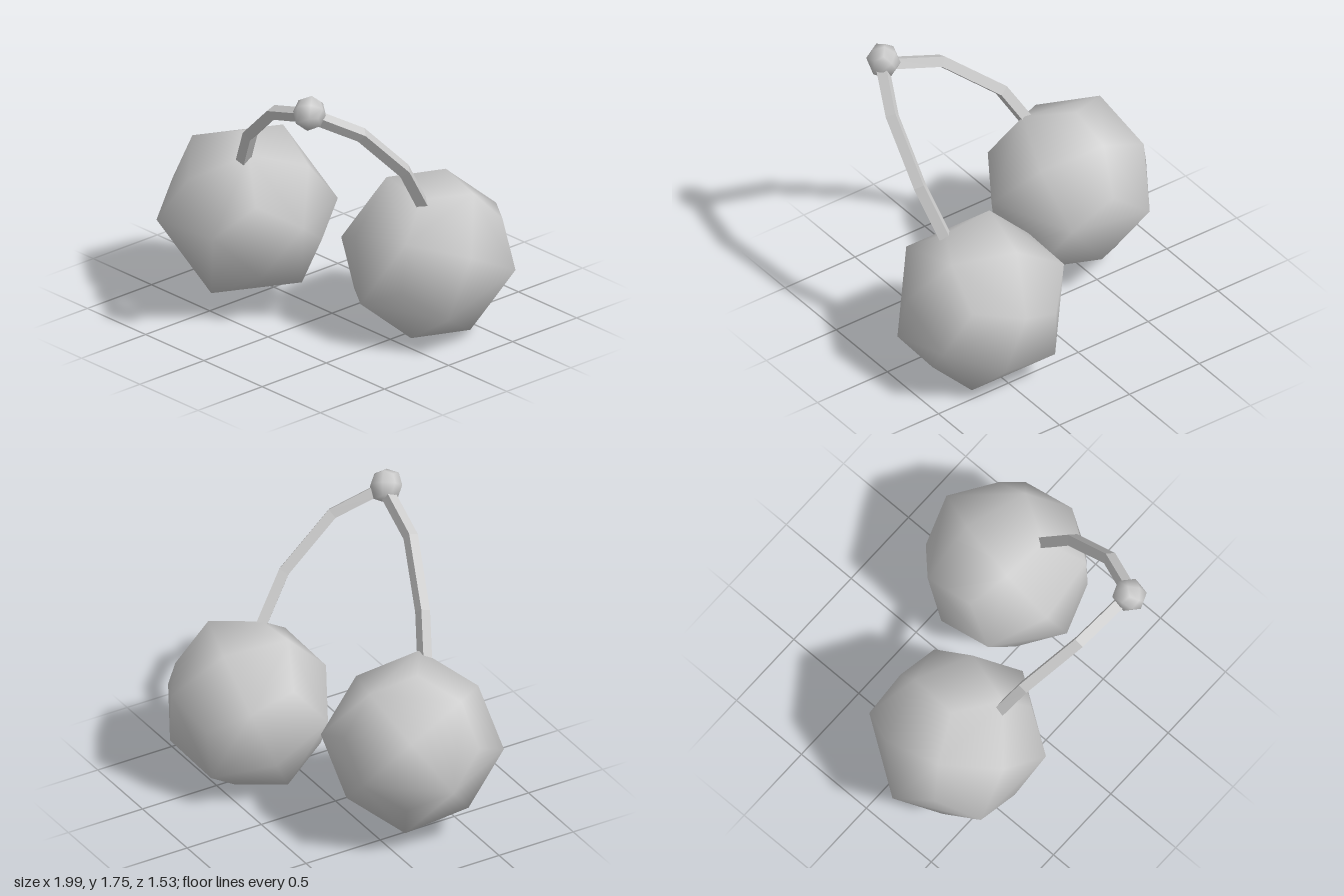
import * as THREE from 'three';
import { ConvexGeometry } from 'three/addons/geometries/ConvexGeometry.js';
import { mergeVertices } from 'three/addons/utils/BufferGeometryUtils.js';

const V = (x, y, z) => new THREE.Vector3(x, y, z);
const material = new THREE.MeshStandardMaterial({ color: 0xcccccc });

function addMesh(group, name, geometry) {
  const mesh = new THREE.Mesh(geometry, material);
  mesh.name = name;
  group.add(mesh);
  return mesh;
}

// Once-subdivided cube: face centres, edge midpoints and corners pulled toward a ball
function ballGeometry() {
  const pull = [0, 1, 0.75, 5 / 9];
  const steps = [-1, 0, 1];
  const points = [];
  for (const x of steps) for (const y of steps) for (const z of steps) {
    const n = Math.abs(x) + Math.abs(y) + Math.abs(z);
    if (n) points.push(V(x, y, z).multiplyScalar(pull[n]));
  }
  let geometry = new ConvexGeometry(points);
  geometry.deleteAttribute('normal');
  geometry = mergeVertices(geometry, 1e-4);
  geometry.computeVertexNormals();
  return geometry;
}

// Ball turned so that its local x and y follow the two given directions
function addBall(group, name, centre, radius, xDir, yDir, stretch = V(1, 1, 1)) {
  const x = xDir.clone().normalize();
  const z = x.clone().cross(yDir).normalize();
  const y = z.clone().cross(x);
  const geometry = ballGeometry();
  geometry.applyMatrix4(new THREE.Matrix4().makeBasis(x, y, z));
  geometry.scale(radius * stretch.x, radius * stretch.y, radius * stretch.z);
  addMesh(group, name, geometry).position.copy(centre);
}

// Square bar swept along a bent path, flat-sided with closed ends
function stemGeometry(path, faceNormal, half) {
  const positions = [];
  const index = [];
  const normal = faceNormal.clone();
  path.forEach((p, i) => {
    const before = path[Math.max(i - 1, 0)];
    const after = path[Math.min(i + 1, path.length - 1)];
    const tangent = after.clone().sub(before).normalize();
    normal.addScaledVector(tangent, -normal.dot(tangent)).normalize();
    const side = tangent.clone().cross(normal);
    for (const [a, b] of [[1, 1], [-1, 1], [-1, -1], [1, -1]]) {
      const c = p.clone().addScaledVector(normal, a * half).addScaledVector(side, b * half);
      positions.push(c.x, c.y, c.z);
    }
    if (i === 0) return;
    for (let k = 0; k < 4; k++) {
      const a = (i - 1) * 4 + k, b = (i - 1) * 4 + (k + 1) % 4;
      index.push(a, b, b + 4, a, b + 4, a + 4);
    }
  });
  const e = (path.length - 1) * 4;
  index.push(0, 2, 1, 0, 3, 2, e, e + 1, e + 2, e, e + 2, e + 3);
  const indexed = new THREE.BufferGeometry();
  indexed.setAttribute('position', new THREE.Float32BufferAttribute(positions, 3));
  indexed.setIndex(index);
  const geometry = indexed.toNonIndexed();
  geometry.computeVertexNormals();
  return geometry;
}

export function createModel() {
  const group = new THREE.Group();
  group.name = 'cherryPair';

  // Fruits
  addBall(group, 'rightCherry', V(-0.47, 0.582, 0.235), 0.5,
    V(-0.122, 0.567, 0.815), V(-0.737, 0.497, -0.456));
  addBall(group, 'leftCherry', V(0.53, 0.478, -0.27), 0.5,
    V(0.94, 0.3, 0.18), V(0.3, -0.38, -0.874));

  // Stems, meeting at the top
  addMesh(group, 'rightStem', stemGeometry(
    [V(-0.3, 1.0, 0.42), V(-0.17, 1.23, 0.485), V(0.17, 1.515, 0.61), V(0.52, 1.625, 0.655)],
    V(0, -0.35, 0.94), 0.031));
  addMesh(group, 'leftStem', stemGeometry(
    [V(0.66, 0.89, -0.1), V(0.708, 1.165, 0.08), V(0.68, 1.475, 0.39), V(0.565, 1.62, 0.64)],
    V(0.753, -0.35, 0.56), 0.031));

  // Knob joining the stems
  addBall(group, 'stemKnob', V(0.54, 1.648, 0.667), 0.1,
    V(0.55, 0.75, 0.36), V(-0.5, 0.66, -0.56), V(0.92, 1.02, 0.98));

  return group;
}
